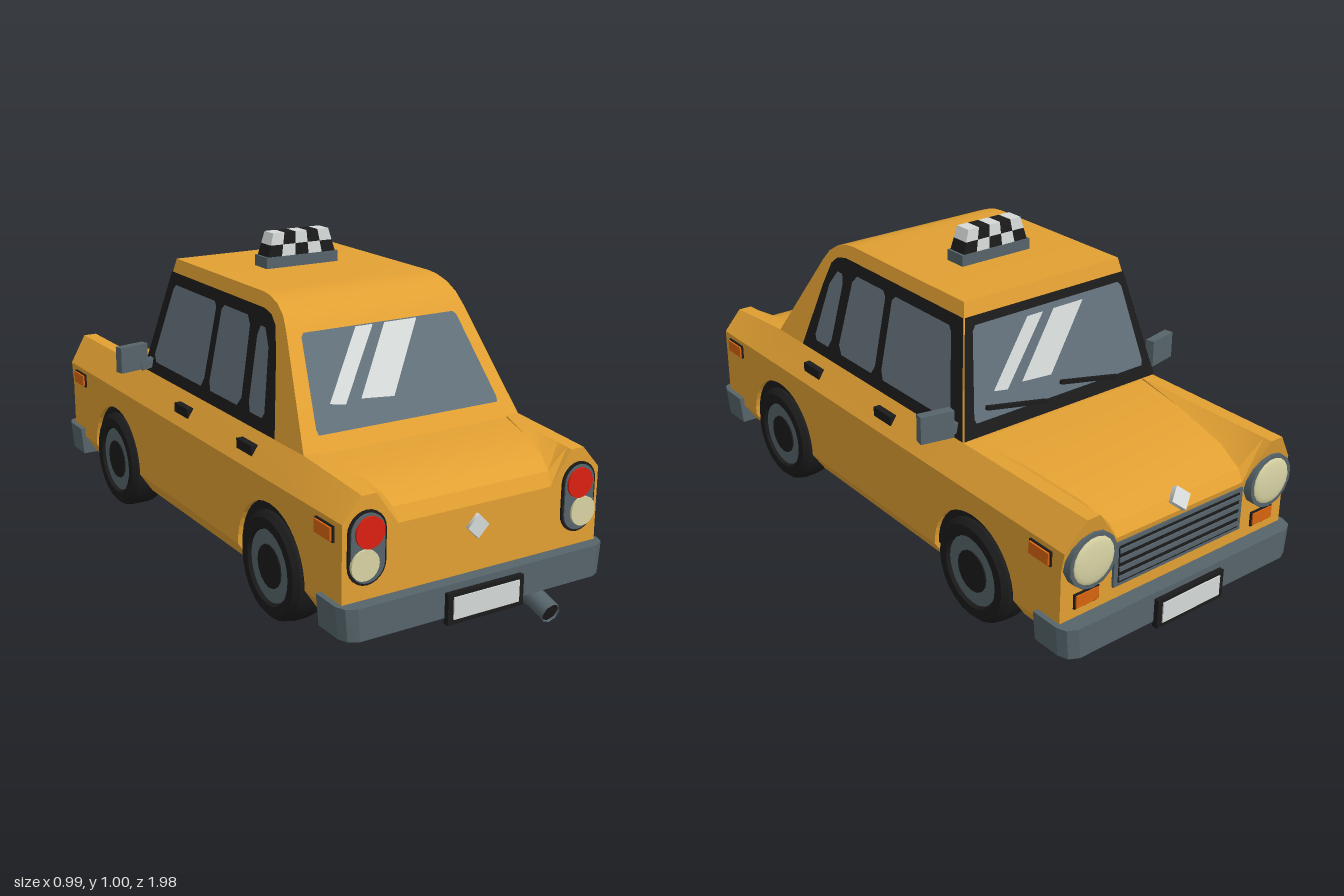
import * as THREE from 'three';
import { toCreasedNormals } from 'three/addons/utils/BufferGeometryUtils.js';

const mat = (name, color, side = THREE.FrontSide) => {
  const m = new THREE.MeshStandardMaterial({ color, side });
  m.name = name;
  return m;
};
const D = THREE.DoubleSide;
const paint = mat('yellow paint', 0xe2a032);
const black = mat('black trim', 0x1b1b1b, D);
const steel = mat('slate metal', 0x56646a, D);
const glass = mat('window glass', 0x62717a, D);
const white = mat('pale grey', 0xd4d9d7, D);
const red = mat('red lamp', 0xdc2010);
const cream = mat('cream lamp', 0xd8d3a4);
const orange = mat('orange lamp', 0xd8640f);

export function createModel() {
  const car = new THREE.Group();
  car.name = 'car';
  const add = (name, geo, m, x = 0, y = 0, z = 0) => {
    const mesh = new THREE.Mesh(geo, m);
    mesh.name = name;
    mesh.position.set(x, y, z);
    car.add(mesh);
    return mesh;
  };
  const box = (name, m, w, h, d, x, y, z) => add(name, new THREE.BoxGeometry(w, h, d), m, x, y, z);
  const disc = (name, m, r, depth, x, y, z, sides = 20) =>
    add(name, new THREE.CylinderGeometry(r, r, depth, sides).rotateX(Math.PI / 2), m, x, y, z);
  const shapeOf = pts => new THREE.Shape(pts.map(p => new THREE.Vector2(...p)));
  // Moves every vertex by a rule
  const warp = (geo, rule) => {
    const p = geo.attributes.position, v = new THREE.Vector3();
    for (let i = 0; i < p.count; i++) {
      rule(v.fromBufferAttribute(p, i));
      p.setXYZ(i, v.x, v.y, v.z);
    }
    geo.computeVertexNormals();
    return geo;
  };
  // Side profile (z, y) extruded across the car
  const across = (shape, width, curveSegments = 8) =>
    new THREE.ExtrudeGeometry(shape, { depth: width, bevelEnabled: false, curveSegments })
      .translate(0, 0, -width / 2).rotateY(-Math.PI / 2);

  // Lower body with wheel arches
  const axles = [[-0.55, 0.185], [0.515, 0.19]];
  const lower = new THREE.Shape();
  lower.moveTo(-0.93, 0.165);
  for (const [z, r] of axles) {
    lower.lineTo(z - r, 0.165);
    lower.absarc(z, 0.165, r, Math.PI, 0, true);
  }
  lower.lineTo(0.89, 0.165);
  lower.lineTo(0.89, 0.36);
  lower.lineTo(-0.93, 0.36);
  add('lowerBody', across(lower, 0.87, 10), paint);
  for (const [z, r] of axles) {
    const arch = new THREE.Shape();
    arch.absarc(z, 0.165, r + 0.002, 0, Math.PI, false);
    add('archLiner', across(arch, 0.84, 10), black);
  }

  // Sills taper inwards and have a black underside
  for (const [z0, z1] of [[-0.93, -0.735], [-0.365, 0.325], [0.705, 0.89]]) {
    const sill = warp(new THREE.BoxGeometry(0.87, 0.065, z1 - z0), v => { if (v.y < 0) v.x *= 0.9; });
    add('sill', sill, [paint, paint, paint, black, paint, paint], 0, 0.1325, (z0 + z1) / 2);
  }
  box('underbody', black, 0.64, 0.075, 1.8, 0, 0.136, -0.02);

  // Fenders, bonnet and boot lid: z, fender top, panel edge x, panel height
  const stations = [[0.89, 0.36, 0.26, 0.36], [0.89, 0.488, 0.26, 0.39], [0.87, 0.49, 0.265, 0.43],
    [0.83, 0.493, 0.275, 0.46], [0.74, 0.5, 0.295, 0.49], [0.6, 0.51, 0.33, 0.505],
    [-0.43, 0.51, 0.33, 0.505], [-0.62, 0.51, 0.3, 0.495], [-0.8, 0.51, 0.27, 0.465],
    [-0.9, 0.51, 0.25, 0.43], [-0.93, 0.51, 0.245, 0.395], [-0.93, 0.36, 0.245, 0.36]];
  const rows = stations.map(([z, top, xi, yi]) => {
    const half = [[0.435, 0.36], [0.435, Math.min(0.42, top)], [0.375, top], [0.33, top], [xi, yi]];
    const line = [...half, ...half.map(([x, y]) => [-x, y]).reverse()];
    return line.map(([x, y]) => [x, y, z < -0.7 ? z - (y - 0.36) * 0.2 : z]);
  });
  const tris = [];
  for (let s = 0; s < rows.length - 1; s++)
    for (let i = 0; i < rows[s].length - 1; i++) {
      const a = rows[s][i], b = rows[s][i + 1], c = rows[s + 1][i + 1], d = rows[s + 1][i];
      tris.push(...a, ...d, ...b, ...b, ...d, ...c);
    }
  const upper = new THREE.BufferGeometry();
  upper.setAttribute('position', new THREE.Float32BufferAttribute(tris, 3));
  add('upperBody', toCreasedNormals(upper, 0.42), paint);

  // Cabin narrows towards the roof
  const halfW = y => 0.375 - (y - 0.51) * 0.21;
  const rearZ = y => 0.6 - (y - 0.51) * 0.667;
  const frontZ = y => -0.43 + (y - 0.51) * 0.263;
  const cabin = shapeOf([[-0.435, 0.49], [0.613, 0.49], [0.4, 0.81], [0.37, 0.847], [0.33, 0.873], [0.28, 0.888],
    [0.24, 0.892], [-0.33, 0.892]]);
  add('cabin', toCreasedNormals(warp(across(cabin, 2), v => { v.x *= halfW(v.y); }), 0.42), paint);

  // Thin panels laid on the cabin faces
  const panel = (name, m, pts, rule) => add(name, warp(new THREE.ShapeGeometry(shapeOf(pts)), rule), m);
  const onSide = (s, o) => v => v.set(s * (halfW(v.y) + o), v.y, v.x);
  const onRear = o => v => { v.z = rearZ(v.y) + o; };
  const onFront = o => v => { v.z = frontZ(v.y) - o; };
  const sideWindows = [
    [[0.375, 0.57], [0.365, 0.553], [0.295, 0.553], [0.28, 0.58], [0.262, 0.77], [0.272, 0.8], [0.3, 0.8], [0.335, 0.75]],
    [[0.235, 0.58], [0.215, 0.553], [0.045, 0.553], [0.03, 0.58], [0.03, 0.8], [0.045, 0.815], [0.19, 0.815], [0.212, 0.79]],
    [[-0.005, 0.58], [-0.02, 0.553], [-0.34, 0.553], [-0.36, 0.575], [-0.303, 0.8], [-0.29, 0.815], [-0.02, 0.815], [-0.005, 0.8]]];
  for (const s of [-1, 1]) {
    panel('sideWindowFrame', black, [[0.447, 0.513], [0.375, 0.74], [0.345, 0.815], [0.315, 0.84], [0.27, 0.85],
      [-0.341, 0.85], [-0.429, 0.513]], onSide(s, 0.004));
    for (const w of sideWindows) panel('sideWindow', glass, w, onSide(s, 0.008));
  }
  panel('rearWindow', glass, [[-0.312, 0.55], [0.312, 0.55], [0.315, 0.565], [0.272, 0.79], [0.262, 0.8], [-0.262, 0.8],
    [-0.272, 0.79], [-0.315, 0.565]], onRear(0.004));
  panel('windscreenFrame', black, [[-0.374, 0.513], [0.374, 0.513], [0.304, 0.85], [-0.304, 0.85]], onFront(0.004));
  panel('windscreen', glass, [[-0.325, 0.555], [0.325, 0.555], [0.33, 0.57], [0.287, 0.81], [0.275, 0.825], [-0.275, 0.825],
    [-0.287, 0.81], [-0.33, 0.57]], onFront(0.008));
  const glints = [[[-0.25, 0.62], [-0.2, 0.612], [-0.03, 0.798], [-0.09, 0.798]],
    [[-0.145, 0.62], [-0.035, 0.612], [0.125, 0.798], [0.01, 0.798]]];
  for (const g of glints) {
    panel('rearGlint', white, g, onRear(0.008));
    panel('frontGlint', white, g.map(([x, y]) => [-x, y + 0.01]), onFront(0.012));
  }
  for (const x of [-0.1, 0.18]) {
    const wiper = box('wiper', black, 0.23, 0.012, 0.012, x, 0.575, -0.432);
    wiper.rotation.z = 0.2;
  }

  // Wheels
  const tyre = [[0.1, -0.06], [0.145, -0.06], [0.16, -0.045], [0.165, -0.02], [0.165, 0.02], [0.16, 0.045],
    [0.145, 0.06], [0.115, 0.06], [0.105, 0.045]].map(p => new THREE.Vector2(...p));
  for (const s of [-1, 1]) for (const [z] of axles) {
    const wheel = new THREE.Group();
    wheel.name = 'wheel';
    const parts = [['tyre', toCreasedNormals(new THREE.LatheGeometry(tyre, 24), 0.5), black, 0],
      ['rim', new THREE.CylinderGeometry(0.11, 0.11, 0.1, 24), steel, 0],
      ['hub', new THREE.CylinderGeometry(0.065, 0.065, 0.108, 16), black, 0]];
    for (const [name, geo, m] of parts) {
      const mesh = new THREE.Mesh(geo, m);
      mesh.name = name;
      wheel.add(mesh);
    }
    wheel.rotation.z = -s * Math.PI / 2;
    wheel.position.set(s * 0.385, 0.165, z);
    car.add(wheel);
  }

  // Wrap-around bumpers and number plates
  for (const [s, end, inner] of [[1, 0.93, 0.79], [-1, 0.98, 0.84]]) {
    const half = [[0.4, inner], [0.452, inner], [0.452, end - 0.045], [0.44, end - 0.015], [0.41, end]];
    const outer = [...half, ...half.map(([x, z]) => [-x, z]).reverse(), [-0.4, end - 0.06], [0.4, end - 0.06]];
    const geo = new THREE.ExtrudeGeometry(shapeOf(outer), { depth: 0.095, bevelEnabled: false }).rotateX(Math.PI / 2);
    warp(geo, v => { if (v.y < -0.05) v.x *= 0.98; });
    const bumper = add('bumper', geo, steel, 0, 0.195, 0);
    if (s < 0) bumper.rotation.y = Math.PI;
    box('plateHolder', black, 0.26, 0.092, 0.02, 0, 0.129, s * (end + 0.006));
    box('plate', white, 0.225, 0.065, 0.006, 0, 0.131, s * (end + 0.017));
  }

  // Lamps, handles and mirrors on both sides
  const lampShape = r => {
    const sh = new THREE.Shape();
    sh.absarc(0, 0.045, r, 0, Math.PI, false);
    sh.absarc(0, -0.045, r, Math.PI, Math.PI * 2, false);
    return new THREE.ExtrudeGeometry(sh, { depth: 0.008, bevelEnabled: false, curveSegments: 6 });
  };
  for (const s of [-1, 1]) {
    add('tailLampRim', lampShape(0.06), black, s * 0.36, 0.343, 0.888);
    add('tailLampPlate', lampShape(0.053), steel, s * 0.36, 0.343, 0.892);
    disc('brakeLamp', red, 0.045, 0.01, s * 0.357, 0.388, 0.902);
    disc('reverseLamp', cream, 0.044, 0.01, s * 0.372, 0.3, 0.902);
    disc('headlampRim', steel, 0.085, 0.045, s * 0.345, 0.375, -0.936, 14);
    const lens = new THREE.SphereGeometry(0.073, 18, 5, 0, Math.PI * 2, 0, Math.PI / 2).scale(1, 0.15, 1).rotateX(-Math.PI / 2);
    add('headlamp', lens, cream, s * 0.345, 0.375, -0.958);
    box('frontIndicatorFrame', black, 0.088, 0.046, 0.01, s * 0.345, 0.248, -0.931);
    box('frontIndicator', orange, 0.08, 0.038, 0.012, s * 0.345, 0.248, -0.934);
    for (const z of [0.81, -0.85]) {
      box('sideIndicatorFrame', black, 0.012, 0.046, 0.088, s * 0.435, 0.382, z);
      box('sideIndicator', orange, 0.02, 0.038, 0.08, s * 0.437, 0.382, z);
    }
    for (const z of [0.335, -0.075]) box('doorHandle', black, 0.03, 0.03, 0.09, s * 0.402, 0.465, z);
    const mirror = box('mirror', steel, 0.105, 0.085, 0.03, s * 0.44, 0.568, -0.385);
    mirror.rotation.y = -s * 0.2;
    const arm = box('mirrorArm', steel, 0.06, 0.03, 0.025, s * 0.382, 0.542, -0.385);
    arm.rotation.z = -s * 0.2;
  }

  // Grille
  box('grilleFrame', steel, 0.5, 0.14, 0.012, 0, 0.308, -0.932);
  box('grilleRecess', black, 0.47, 0.115, 0.014, 0, 0.308, -0.934);
  for (let i = 0; i < 4; i++) box('grilleBar', steel, 0.47, 0.014, 0.016, 0, 0.265 + i * 0.029, -0.937);

  // Diamond badges
  for (const [y, z, tilt] of [[0.33, 0.892, 0], [0.425, -0.925, 0.6]]) {
    const badge = disc('diamond', white, 0.036, 0.02, 0, y, z, 4);
    badge.rotation.x = tilt;
  }

  // Exhaust pipe
  const pipe = new THREE.CatmullRomCurve3([[0.085, 0.6], [0.082, 0.8], [0.072, 0.89], [0.048, 0.975]]
    .map(([y, z]) => new THREE.Vector3(0.21, y, z)));
  add('exhaust', new THREE.TubeGeometry(pipe, 12, 0.031, 8), steel);
  const bore = add('exhaustBore', new THREE.CircleGeometry(0.03, 8), black, 0.21, 0.05, 0.968);
  bore.rotation.x = 0.28;

  // Chequered roof sign, tapering upwards
  const signZ = -0.067;
  box('signBase', steel, 0.26, 0.04, 0.075, 0, 0.907, signZ);
  const k = y => 1 - (y - 0.925) * 2.4;
  for (let row = 0; row < 2; row++) for (let col = 0; col < 5; col++) {
    const y0 = 0.926 + row * 0.037;
    const cell = warp(new THREE.BoxGeometry(0.049, 0.037, 0.068).translate((col - 2) * 0.049, y0 + 0.0185, 0), v => {
      v.x *= k(v.y);
      v.z *= k(v.y);
    });
    add('signCell', cell, (row + col) % 2 ? white : black, 0, 0, signZ);
  }
  return car;
}
